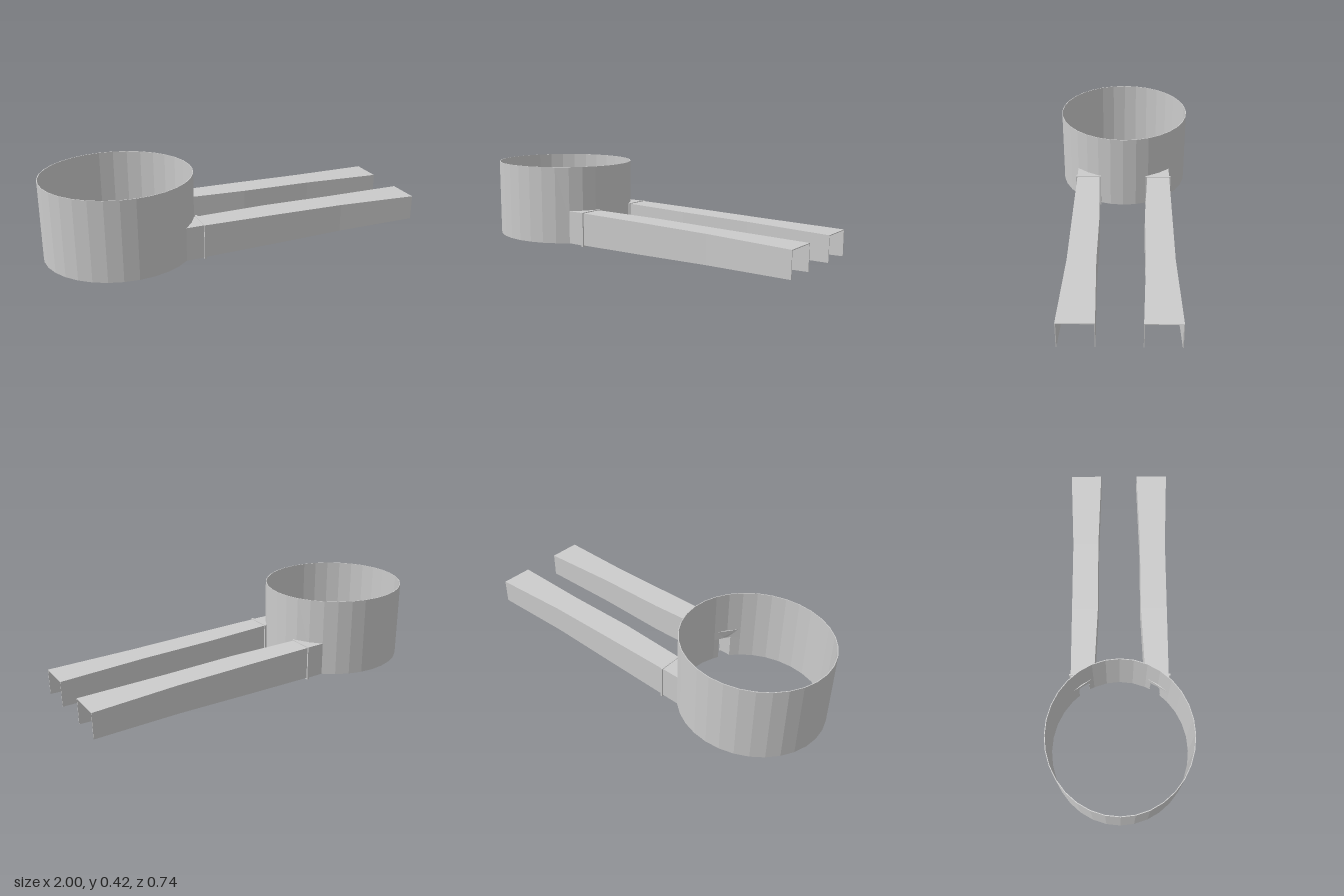
import * as THREE from 'three';

const material = new THREE.MeshStandardMaterial({ color: 0xcccccc, flatShading: true, side: THREE.DoubleSide });
const CX = -0.61, RX = 0.39, RZ = 0.37, WALL = 0.004;

// x of the ring's surface at a given z, on the side facing the arms
const ringX = z => CX + RX * Math.sqrt(1 - (z / RZ) ** 2);

// Thin curved wall between two angles, from y0 to y1, in 32nds of a turn
function wall(a0, a1, y0, y1) {
  const step = Math.PI / 16, angles = [a0];
  for (let k = Math.floor(a0 / step) + 1; k * step < a1 - 1e-4; k++) {
    if (k * step > a0 + 1e-4) angles.push(k * step);
  }
  angles.push(a1);
  const at = (a, t) => new THREE.Vector2(CX + (RX - t) * Math.cos(a), (RZ - t) * Math.sin(a));
  const outline = [...angles.map(a => at(a, 0)), ...angles.slice().reverse().map(a => at(a, WALL))];
  const g = new THREE.ExtrudeGeometry(new THREE.Shape(outline), { depth: y1 - y0, bevelEnabled: false });
  g.rotateX(-Math.PI / 2).translate(0, y0, 0);
  return new THREE.Mesh(g, material);
}

// Cross-section of a channel open at the bottom: [z, y] corners
const channel = (zi, zo, y0, y1, hi, ho, hy) => [
  [zo, y0], [zo, y1], [zi, y1], [zi, y0], [hi, y0], [hi, hy], [ho, hy], [ho, y0],
];
const thin = (zi, zo, y0, y1) => channel(zi, zo, y0, y1, zi + WALL, zo - WALL, y1 - WALL);

// Skin a row of channel sections; x is a number or a function of z
function loft(sections) {
  const pos = [], idx = [], n = 8;
  for (const { x, p } of sections) {
    for (const [z, y] of p) pos.push(typeof x === 'function' ? x(z) : x, y, z);
  }
  for (let s = 0; s < sections.length - 1; s++) {
    for (let i = 0; i < n; i++) {
      const a = s * n + i, b = s * n + (i + 1) % n;
      idx.push(a, b, a + n, b, b + n, a + n);
    }
  }
  // end faces: outer side, top and inner side strips
  const last = (sections.length - 1) * n;
  for (const [a, b, c, d] of [[0, 1, 6, 7], [1, 2, 5, 6], [2, 3, 4, 5]]) {
    idx.push(a, c, b, a, d, c);
    idx.push(last + a, last + b, last + c, last + a, last + c, last + d);
  }
  const g = new THREE.BufferGeometry();
  g.setAttribute('position', new THREE.Float32BufferAttribute(pos, 3));
  g.setIndex(idx);
  const flat = g.toNonIndexed();
  flat.computeVertexNormals();
  return flat;
}

// Same geometry on the other side of z = 0, with its winding restored
function mirrorZ(g) {
  const m = g.clone(), p = m.attributes.position;
  for (let i = 0; i < p.count; i += 3) {
    const v = [0, 2, 1].map(k => [p.getX(i + k), p.getY(i + k), -p.getZ(i + k)]);
    const src = g.attributes.position;
    v.forEach((c, k) => {
      const s = i + [0, 2, 1][k];
      p.setXYZ(i + k, src.getX(s), src.getY(s), -src.getZ(s));
    });
  }
  m.computeVertexNormals();
  return m;
}

export function createModel() {
  const model = new THREE.Group();

  // Ring: full band above, lower band interrupted by two slots
  const ring = new THREE.Group();
  ring.name = 'ring';
  const slotIn = 0.167, slotOut = 0.222, slotTop = 0.135;
  const a = Math.asin(slotIn / RZ), b = Math.asin(slotOut / RZ);
  ring.add(
    wall(0, Math.PI, slotTop, 0.423), wall(Math.PI, 2 * Math.PI, slotTop, 0.423),
    wall(-a, a, 0.006, slotTop), wall(b, Math.PI, 0.006, slotTop),
    wall(Math.PI, 2 * Math.PI - b, 0.006, slotTop),
  );
  model.add(ring);

  const parts = {
    // Thick slotted block fitted to the curve of the ring
    connector: loft([
      { x: z => ringX(z) - 0.003, p: channel(0.14, 0.262, 0.006, 0.184, slotIn, slotOut, slotTop) },
      { x: -0.238, p: channel(0.136, 0.262, 0.006, 0.184, slotIn, slotOut, slotTop) },
    ]),
    // Thin collar around the joint
    collar: loft([-0.24, -0.23].map(x => ({ x, p: channel(0.128, 0.27, 0, 0.187, slotIn, slotOut, slotTop) }))),
    // Long thin-walled channel, open below and at the far end
    arm: loft([
      { x: -0.232, p: thin(0.137, 0.262, 0.008, 0.183) },
      { x: 0.15, p: thin(0.119, 0.262, 0.013, 0.178) },
      { x: 0.55, p: thin(0.119, 0.262, 0.02, 0.171) },
      { x: 1, p: thin(0.105, 0.28, 0.027, 0.161) },
    ]),
  };

  // Two mirrored arms
  for (const side of ['front', 'back']) {
    const group = new THREE.Group();
    group.name = side + 'Arm';
    for (const [name, g] of Object.entries(parts)) {
      const mesh = new THREE.Mesh(side === 'front' ? g : mirrorZ(g), material);
      mesh.name = name;
      group.add(mesh);
    }
    model.add(group);
  }
  return model;
}
